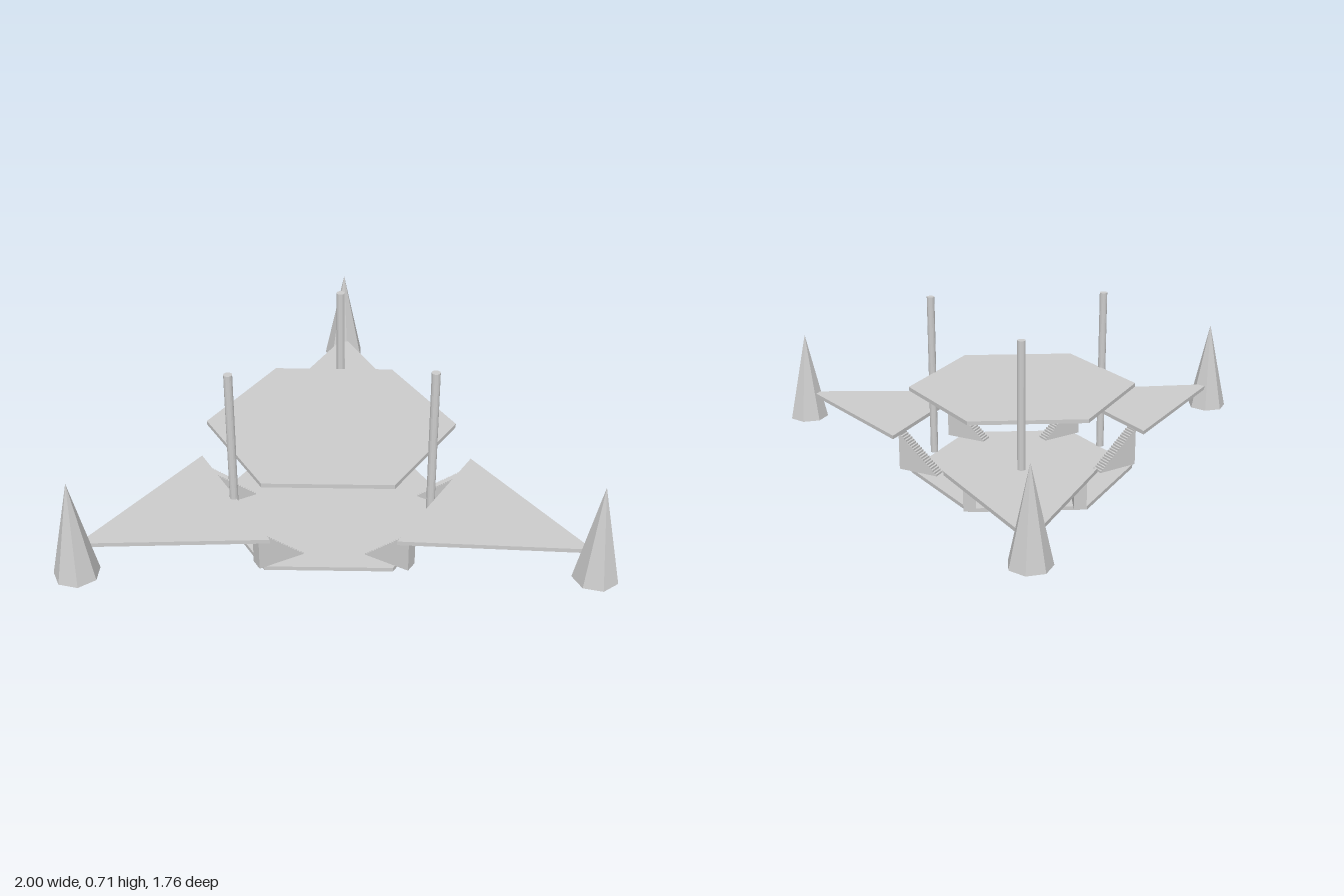
import * as THREE from 'three';

const material = new THREE.MeshStandardMaterial({ color: 0xcccccc, flatShading: true });
const THICK = 0.016;

function add(parent, name, geometry, x = 0, y = 0, z = 0) {
  const mesh = new THREE.Mesh(geometry, material);
  mesh.name = name;
  mesh.position.set(x, y, z);
  parent.add(mesh);
  return mesh;
}

// Flat horizontal plate from an outline of [x, z] points
function plate(points) {
  const shape = new THREE.Shape(points.map(([x, z]) => new THREE.Vector2(x, -z)));
  return new THREE.ExtrudeGeometry(shape, { depth: THICK, bevelEnabled: false }).rotateX(-Math.PI / 2);
}

// Bracket with a finely stepped slope: upright at z = 0, foot reaching along +z
function bracketGeometry(length, height, width, steps) {
  const shape = new THREE.Shape();
  shape.moveTo(0, 0);
  for (let i = 0; i < steps; i++) {
    const reach = length * (1 - i / steps);
    shape.lineTo(reach, height * i / steps);
    shape.lineTo(reach, height * (i + 1) / steps);
  }
  shape.lineTo(0, height);
  return new THREE.ExtrudeGeometry(shape, { depth: width, bevelEnabled: false })
    .translate(0, 0, -width / 2)
    .rotateY(-Math.PI / 2);
}

export function createModel() {
  const model = new THREE.Group();
  model.name = 'threeArmedFrame';

  // Two hexagonal decks
  const hexagon = [];
  for (let i = 0; i < 6; i++) {
    const a = i * Math.PI / 3;
    hexagon.push([-0.03 + 0.47 * Math.cos(a), 0.255 + 0.47 * Math.sin(a)]);
  }
  const deck = plate(hexagon);
  add(model, 'lowerDeck', deck, 0, 0.003, 0);
  add(model, 'upperDeck', deck, 0, 0.371, 0);

  // Shared shapes for the three arms
  const bracket = bracketGeometry(0.18, 0.16, 0.05, 20);
  const pole = new THREE.CylinderGeometry(0.016, 0.016, 0.7, 16);
  const cone = new THREE.ConeGeometry(0.084, 0.385, 7, 1, false, Math.PI - 0.24);
  const third = 2 * Math.PI / 3;

  // Each arm: triangular wing, cone at its tip, pole and two brackets at its root
  const arms = [
    { name: 'backArm', turn: 0,
      wing: [[-0.3, -0.18], [0.3, -0.18], [0, -0.78]],
      cone: [0, 0.105, -0.803], pole: [-0.003, -0.175],
      brackets: [[-0.235, -0.18], [0.2, -0.18]] },
    { name: 'leftArm', turn: -third,
      wing: [[0.51, 0.2], [0.215, 0.73], [0.9, 0.762]],
      cone: [0.918, 0.075, 0.765], pole: [0.345, 0.445],
      brackets: [[0.477, 0.28], [0.272, 0.654]] },
    { name: 'rightArm', turn: third,
      wing: [[-0.535, 0.2], [-0.235, 0.73], [-0.91, 0.766]],
      cone: [-0.917, 0.083, 0.793], pole: [-0.385, 0.475],
      brackets: [[-0.498, 0.28], [-0.293, 0.654]] },
  ];
  for (const arm of arms) {
    const group = new THREE.Group();
    group.name = arm.name;
    model.add(group);
    add(group, 'wing', plate(arm.wing), 0, 0.177, 0);
    const [cx, cy, cz] = arm.cone;
    add(group, 'cone', cone, cx, cy + 0.1925, cz);
    add(group, 'pole', pole, arm.pole[0], 0.368, arm.pole[1]);
    for (const [x, z] of arm.brackets) {
      add(group, 'bracket', bracket, x, 0.019, z).rotation.y = arm.turn;
    }
  }

  // Stand the model on the ground
  const box = new THREE.Box3().setFromObject(model);
  for (const child of model.children) child.position.y -= box.min.y;
  return model;
}
